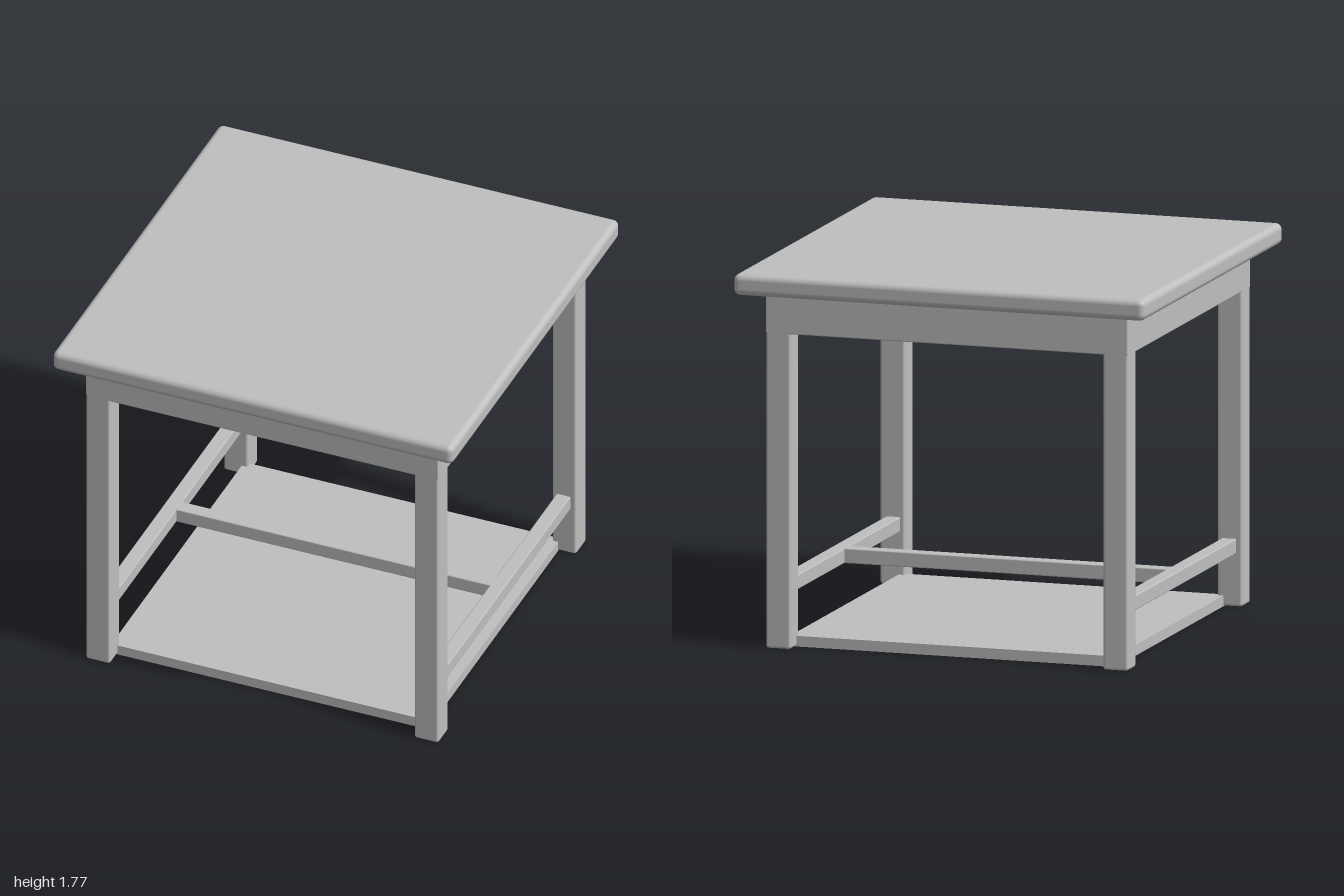
import * as THREE from 'three';
import { RoundedBoxGeometry } from 'three/addons/geometries/RoundedBoxGeometry.js';

export function createModel() {
  const table = new THREE.Group();
  table.name = 'sideTable';
  const grey = new THREE.MeshStandardMaterial({ color: 0xbfbfbf });
  grey.name = 'plain grey';

  // Box with softened edges, placed by its base height
  const block = (name, w, h, d, x, y0, z, radius, segments = 2) => {
    const mesh = new THREE.Mesh(new RoundedBoxGeometry(w, h, d, segments, radius), grey);
    mesh.name = name;
    mesh.position.set(x, y0 + h / 2, z);
    table.add(mesh);
    return mesh;
  };

  // Table top with rounded rim
  block('tableTop', 2, 0.1, 2, 0, 1.67, 0, 0.03, 4);

  // Four square legs
  for (const sx of [-1, 1]) {
    for (const sz of [-1, 1]) {
      const name = (sz > 0 ? 'front' : 'back') + (sx > 0 ? 'Left' : 'Right') + 'Leg';
      block(name, 0.12, 1.668, 0.12, sx * 0.82, 0.002, sz * 0.82, 0.012);
    }
  }

  // Apron boards, flush with the outside of the legs
  for (const s of [-1, 1]) {
    block(s > 0 ? 'frontApron' : 'backApron', 1.76, 0.19, 0.05, 0, 1.48, s * 0.855, 0.006);
    block(s > 0 ? 'leftApron' : 'rightApron', 0.05, 0.19, 1.76, s * 0.855, 1.48, 0, 0.006);
  }

  // H-shaped stretcher between the legs
  for (const s of [-1, 1]) {
    block(s > 0 ? 'leftStretcher' : 'rightStretcher', 0.07, 0.07, 1.56, s * 0.817, 0.25, 0, 0.006);
  }
  block('middleStretcher', 1.6, 0.07, 0.07, 0, 0.25, 0, 0.006);

  // Thin low shelf with its corners let into the legs
  const shelf = new THREE.Mesh(new THREE.BoxGeometry(1.58, 0.05, 1.58), grey);
  shelf.name = 'lowerShelf';
  shelf.position.y = 0.025;
  table.add(shelf);

  return table;
}
